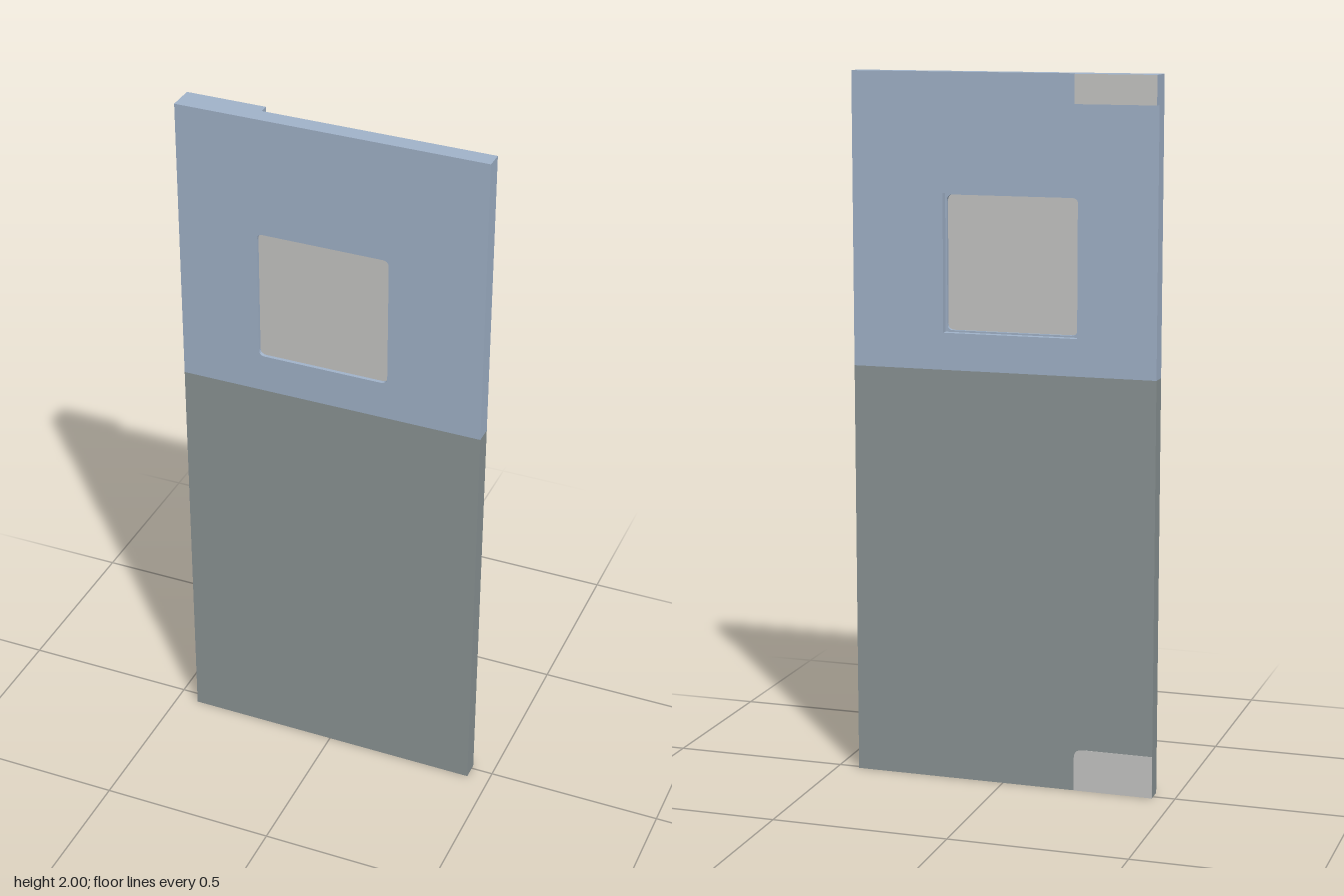
import * as THREE from 'three';

const blue = new THREE.MeshStandardMaterial({ name: 'paleBluePaint', color: 0xa3b5cc });
const grey = new THREE.MeshStandardMaterial({ name: 'slateGreyPaint', color: 0x8d9697 });
const light = new THREE.MeshStandardMaterial({ name: 'lightGrey', color: 0xc9c9c7 });

const HALF = 0.437, SPLIT = 1.18, TOP = 2;
const BACK = -0.0135, MID = 0.008, FRONT = 0.0365;
const WIN = { x: -0.02, y: 1.477 };

// rectangle outline with optional rounded corners
function rect(path, x0, y0, x1, y1, r = 0) {
  if (r === 0) {
    path.moveTo(x0, y0).lineTo(x1, y0).lineTo(x1, y1).lineTo(x0, y1).closePath();
    return path;
  }
  path.moveTo(x0 + r, y0);
  path.lineTo(x1 - r, y0).quadraticCurveTo(x1, y0, x1, y0 + r);
  path.lineTo(x1, y1 - r).quadraticCurveTo(x1, y1, x1 - r, y1);
  path.lineTo(x0 + r, y1).quadraticCurveTo(x0, y1, x0, y1 - r);
  path.lineTo(x0, y0 + r).quadraticCurveTo(x0, y0, x0 + r, y0);
  return path;
}

function slab(name, shape, z0, z1, material) {
  const geo = new THREE.ExtrudeGeometry(shape, { depth: z1 - z0, bevelEnabled: false, curveSegments: 5 });
  geo.translate(0, 0, z0);
  const mesh = new THREE.Mesh(geo, material);
  mesh.name = name;
  return mesh;
}

function box(name, x0, x1, y0, y1, z0, z1, material) {
  const mesh = new THREE.Mesh(new THREE.BoxGeometry(x1 - x0, y1 - y0, z1 - z0), material);
  mesh.position.set((x0 + x1) / 2, (y0 + y1) / 2, (z0 + z1) / 2);
  mesh.name = name;
  return mesh;
}

// upper door layer with a window opening of the given half size
function upperLayer(name, half, radius, z0, z1) {
  const shape = rect(new THREE.Shape(), -HALF, SPLIT, HALF, TOP);
  shape.holes.push(rect(new THREE.Path(), WIN.x - half, WIN.y - half, WIN.x + half, WIN.y + half, radius));
  return slab(name, shape, z0, z1, blue);
}

export function createModel() {
  const door = new THREE.Group();
  door.name = 'door';

  // door leaf: plain lower part, windowed upper part with a stepped frame
  door.add(
    box('lowerPanel', -HALF, HALF, 0, SPLIT, BACK, FRONT, grey),
    upperLayer('upperPanelFront', 0.188, 0.018, MID, FRONT),
    upperLayer('upperPanelBack', 0.193, 0, BACK, MID),
  );

  // window pane, set nearer the front
  door.add(box('windowPane', WIN.x - 0.19, WIN.x + 0.19, WIN.y - 0.19, WIN.y + 0.19, 0.018, 0.026, light));

  // top closer block on the back, with a light rear face
  door.add(box('closerBlock', -HALF, -0.21, 1.92, TOP, -0.04, BACK, [blue, blue, blue, blue, blue, light]));

  // bottom pivot plate on the back, rounded at its inner top corner
  const plate = new THREE.Shape();
  plate.moveTo(-HALF, 0).lineTo(-0.21, 0).lineTo(-0.21, 0.095);
  plate.quadraticCurveTo(-0.21, 0.12, -0.235, 0.12).lineTo(-HALF, 0.12).closePath();
  door.add(slab('pivotPlate', plate, BACK - 0.001, BACK + 0.001, light));

  // the leaf stands very slightly ajar
  door.rotation.y = -0.0035;

  const model = new THREE.Group();
  model.name = 'swingDoor';
  model.add(door);
  return model;
}
